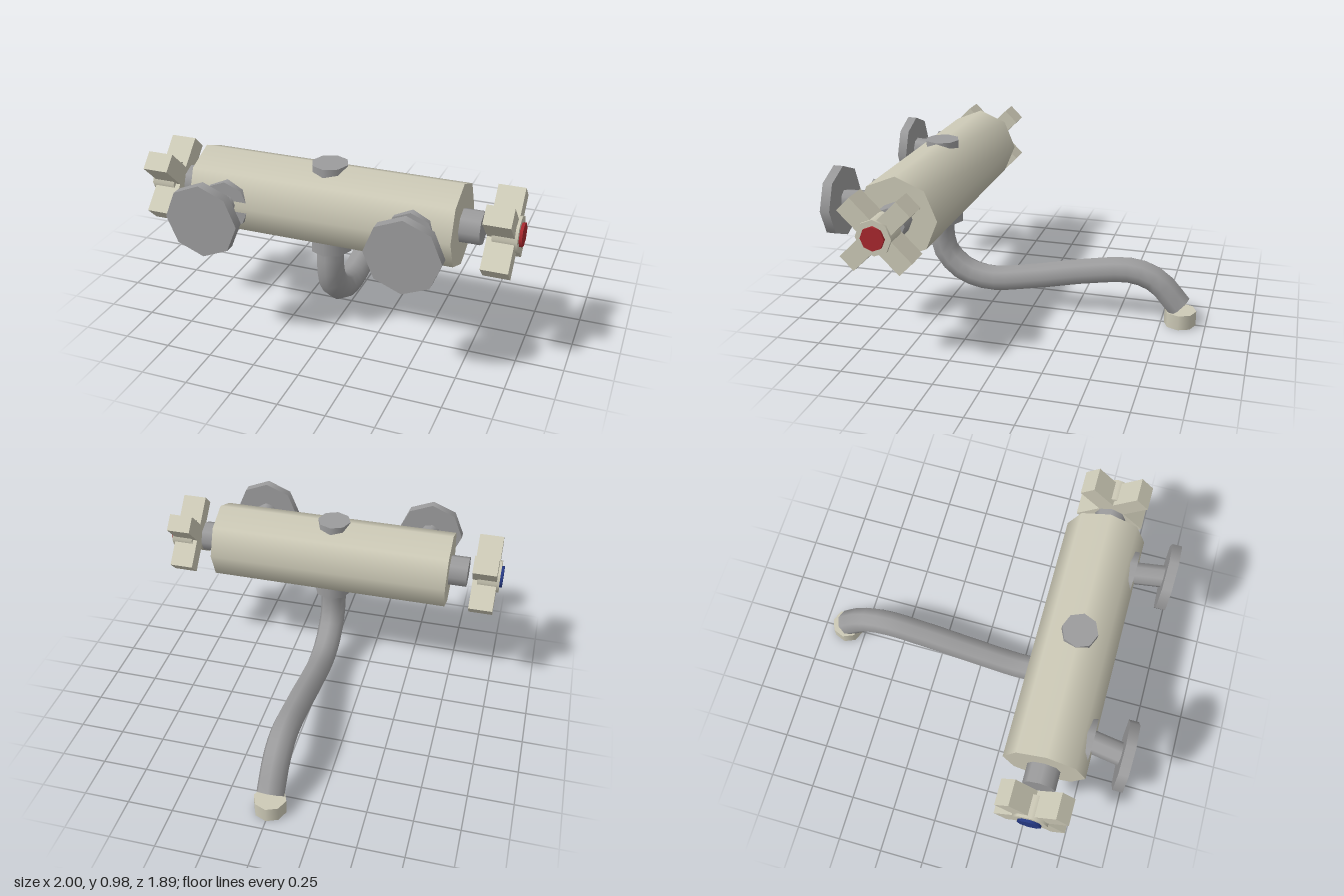
import * as THREE from 'three';

const mat = (name, color, side = THREE.FrontSide) => {
  const m = new THREE.MeshStandardMaterial({ color, side });
  m.name = name;
  return m;
};

export function createModel() {
  const cream = mat('cream', 0xcdcab7);
  const steel = mat('steel grey', 0x9c9c9d);
  const red = mat('hot red', 0xa8282e);
  const blue = mat('cold blue', 0x263a86);
  const group = new THREE.Group();
  const Y = 0.75, Z = 0.53; // axis of the mixer body
  const up = new THREE.Vector3(0, 1, 0);

  const add = (name, geometry, material, parent = group) => {
    const mesh = new THREE.Mesh(geometry, material);
    mesh.name = name;
    parent.add(mesh);
    return mesh;
  };
  // eight-sided rod between two points
  const rod = (name, a, b, r, material, parent) => {
    const p = new THREE.Vector3(...a), q = new THREE.Vector3(...b);
    const d = q.clone().sub(p);
    const mesh = add(name, new THREE.CylinderGeometry(r, r, d.length(), 8), material, parent);
    mesh.position.copy(p).add(q).multiplyScalar(0.5);
    mesh.quaternion.setFromUnitVectors(up, d.normalize());
    return mesh;
  };

  rod('body', [-0.695, Y, Z], [0.695, Y, Z], 0.22, cream);
  rod('topKnob', [0, 0.88, Z], [0, 0.975, Z], 0.096, steel);
  rod('spoutCollar', [0, 0.493, Z], [0, 0.62, Z], 0.11, steel);

  for (const s of [1, -1]) {
    const side = s > 0 ? 'left' : 'right';

    // valve stem and cross handle
    rod(side + 'Stem', [s * 0.68, Y, Z], [s * 0.8, Y, Z], 0.088, steel);
    const handle = new THREE.Group();
    handle.name = side + 'Handle';
    group.add(handle);
    for (const angle of [Math.PI / 4, -Math.PI / 4]) {
      const arm = add('handleArm', new THREE.BoxGeometry(0.137, 0.44, 0.1), cream, handle);
      arm.position.set(s * 0.902, Y, Z);
      arm.rotation.x = angle;
    }
    rod('handleHub', [s * 0.86, Y, Z], [s * 0.985, Y, Z], 0.095, cream, handle);
    rod('handleCap', [s * 0.98, Y, Z], [s, Y, Z], 0.063, s > 0 ? red : blue, handle);

    // wall connection
    rod(side + 'Escutcheon', [s * 0.492, Y, 0.64], [s * 0.492, Y, 0.738], 0.127, steel);
    rod(side + 'WallPipe', [s * 0.49, Y, 0.7], [s * 0.52, Y, 0.9], 0.062, steel);
    rod(side + 'WallFlange', [s * 0.52, Y, 0.895], [s * 0.52, Y, 0.948], 0.193, steel);
  }

  // swan-neck spout, path given as [z, y]
  const path = [[0.545, 0.52], [0.55, 0.41], [0.525, 0.3], [0.46, 0.225], [0.39, 0.182], [0.25, 0.155],
    [0, 0.193], [-0.325, 0.262], [-0.58, 0.293], [-0.72, 0.245], [-0.848, 0.107]]
    .map(([z, y]) => new THREE.Vector3(0, y, z));
  const curve = new THREE.CatmullRomCurve3(path, false, 'centripetal');
  add('spout', new THREE.TubeGeometry(curve, 24, 0.076, 8), steel);
  const end = add('spoutEnd', new THREE.CircleGeometry(0.076, 8), steel);
  end.position.copy(path[path.length - 1]);
  end.quaternion.setFromUnitVectors(new THREE.Vector3(0, 0, 1), curve.getTangent(1));

  rod('aerator', [0, 0, -0.857], [0, 0.085, -0.857], 0.089, cream);
  return group;
}
